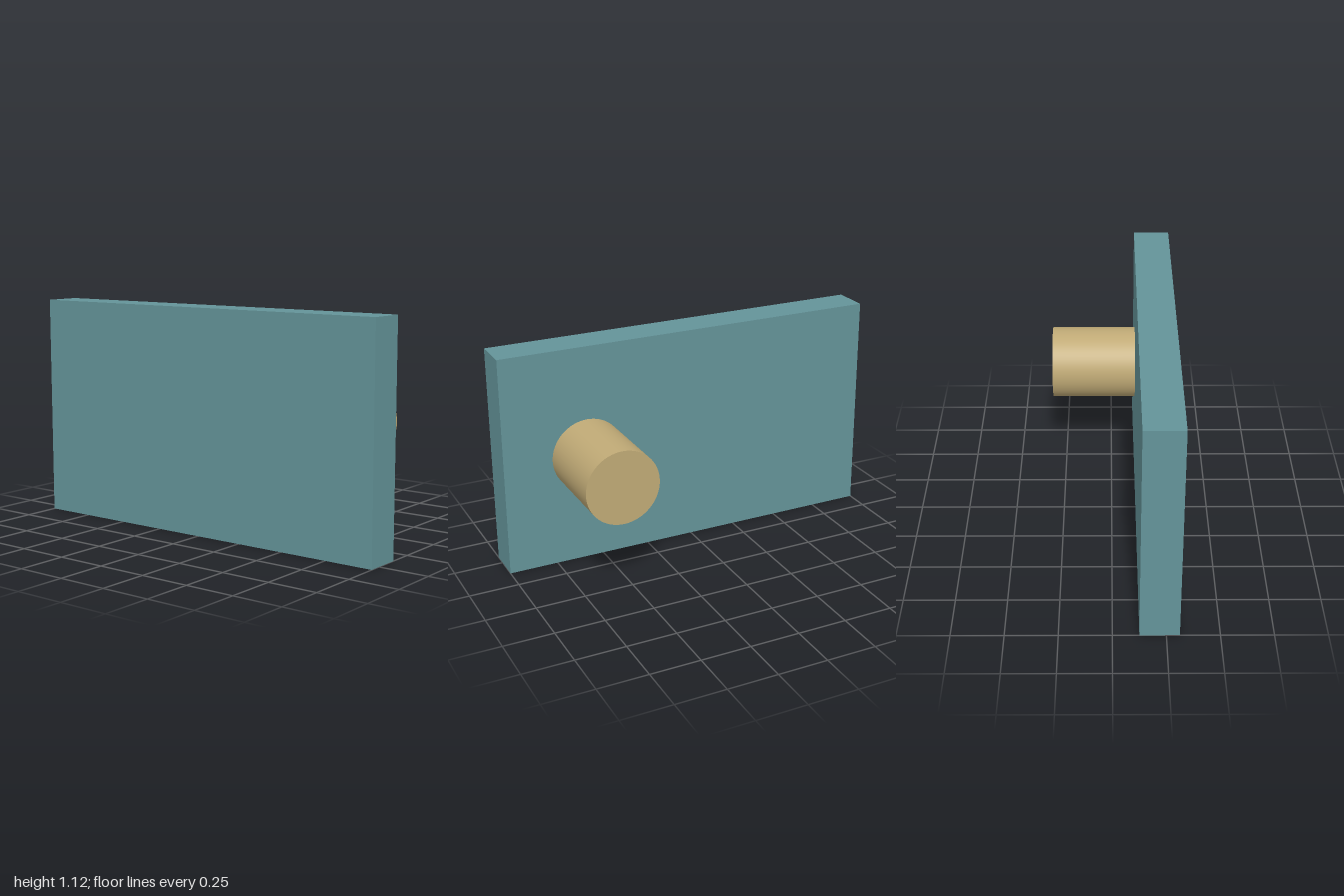
import * as THREE from 'three';

export function createModel() {
  const model = new THREE.Group();
  const teal = new THREE.MeshStandardMaterial({ color: 0x649499 });
  teal.name = 'teal';
  const tan = new THREE.MeshStandardMaterial({ color: 0xc0aa76 });
  tan.name = 'tan';

  // Upright slab
  const thickness = 0.1875, height = 1.125, left = -0.3125;
  const plate = new THREE.Mesh(new THREE.BoxGeometry(thickness, height, 2), teal);
  plate.name = 'plate';
  plate.position.set(left + thickness / 2, height / 2, 0);
  model.add(plate);

  // Round peg standing out from the slab toward +x
  const radius = 0.1875, length = 0.4375;
  const pegGeometry = new THREE.CylinderGeometry(radius, radius, length, 64);
  pegGeometry.rotateZ(-Math.PI / 2);
  const peg = new THREE.Mesh(pegGeometry, tan);
  peg.name = 'peg';
  peg.position.set(left + thickness + length / 2, height / 2, 0.5625);
  model.add(peg);

  return model;
}
